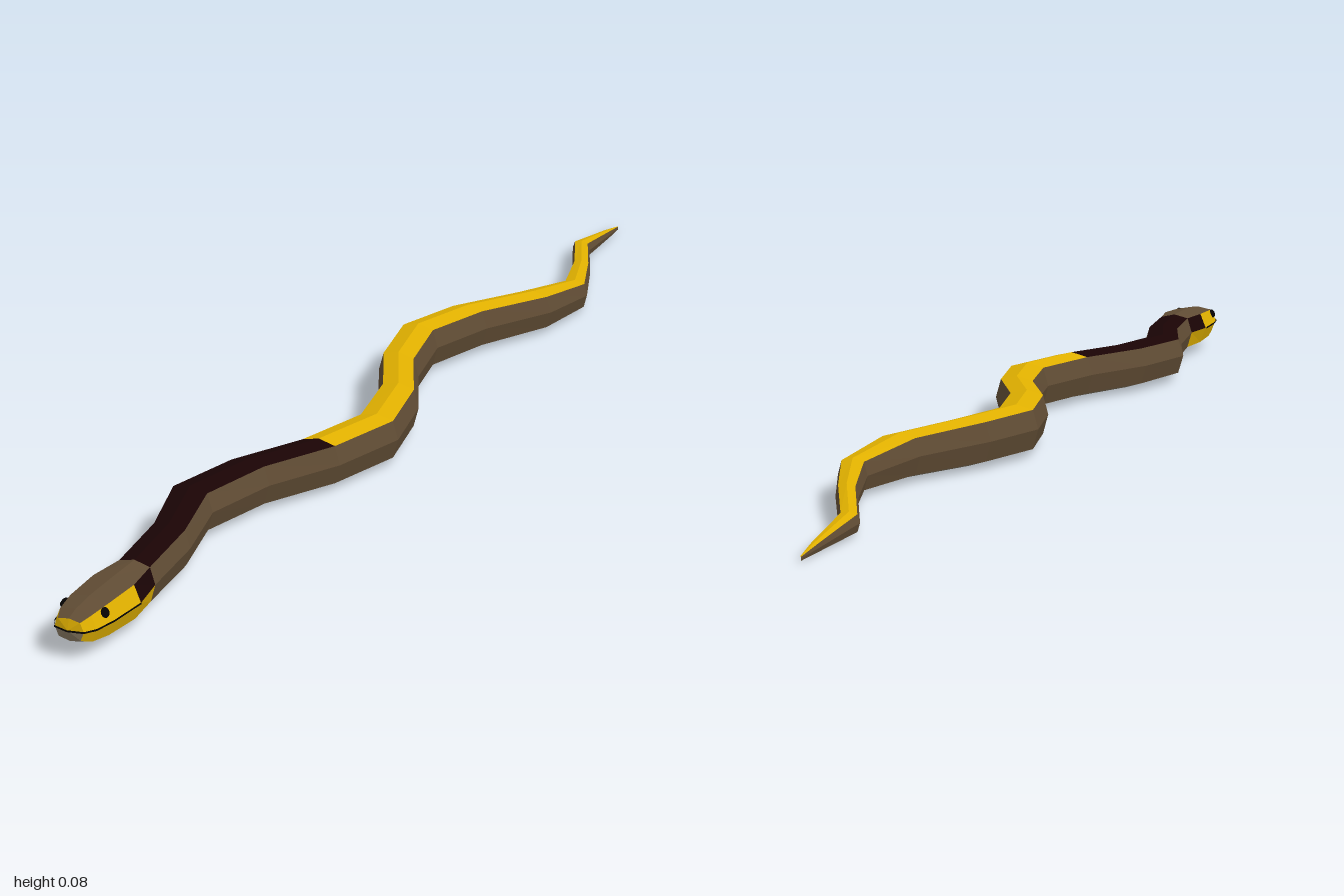
import * as THREE from 'three';

const mat = (name, color, extra = {}) => new THREE.MeshStandardMaterial({ name, color, flatShading: true, ...extra });

// eight-sided cross-section, clockwise from the top as seen from the front
// ring: [z, centre x, half width, bottom y, top y]
function section([z, x, w, lo, hi]) {
  const h = hi - lo, mid = lo + h * 0.52, s = w * 0.76;
  return [
    [0, hi], [s, hi - h * 0.09], [w, mid], [s, lo + h * 0.11],
    [0, lo], [-s, lo + h * 0.11], [-w, mid], [-s, hi - h * 0.09],
  ].map(([px, py]) => new THREE.Vector3(x + px, py, z));
}

function meshOf(points, material, name) {
  const geometry = new THREE.BufferGeometry().setFromPoints(points);
  geometry.computeVertexNormals();
  const mesh = new THREE.Mesh(geometry, material);
  mesh.name = name;
  return mesh;
}

// skin the chosen sides of a run of rings, ordered front to back
function skin(rings, sides, material, name) {
  const sec = rings.map(section), points = [];
  for (let i = 0; i < sec.length - 1; i++) {
    for (const j of sides) {
      const k = (j + 1) % 8;
      const a = sec[i][j], b = sec[i][k], c = sec[i + 1][k], d = sec[i + 1][j];
      points.push(a, b, c, a, c, d);
    }
  }
  return meshOf(points, material, name);
}

// close the front of a ring
function cap(ring, sides, material, name) {
  const sec = section(ring);
  const centre = sec[2].clone().add(sec[6]).multiplyScalar(0.5);
  centre.z += 0.005;
  return meshOf(sides.flatMap(j => [centre, sec[(j + 1) % 8], sec[j]]), material, name);
}

export function createModel() {
  const brown = mat('brown scales', 0x604c34);
  const belly = mat('pale belly scales', 0x84765f);
  const yellow = mat('yellow scales', 0xe0b000);
  const maroon = mat('dark maroon scales', 0x1a0405);
  const black = mat('black', 0x050303, { side: THREE.DoubleSide });

  const head = [
    [0.988, 0, 0.024, 0.029, 0.064],
    [0.97, 0, 0.034, 0.02, 0.071],
    [0.935, 0, 0.041, 0.015, 0.076],
    [0.87, 0, 0.045, 0.012, 0.079],
    [0.81, -0.002, 0.034, 0.011, 0.079],
  ];
  const body = [
    head[4],
    [0.68, -0.022, 0.035, 0.008, 0.08],
    [0.555, -0.061, 0.039, 0.006, 0.082],
    [0.43, -0.033, 0.038, 0.005, 0.083],
    [0.31, 0.026, 0.038, 0.004, 0.083],
    [0.18, 0.06, 0.038, 0.004, 0.083],
    [0.05, 0.031, 0.037, 0.004, 0.083],
    [-0.07, -0.031, 0.037, 0.004, 0.083],
    [-0.2, -0.061, 0.037, 0.004, 0.083],
    [-0.32, -0.027, 0.037, 0.004, 0.082],
    [-0.45, 0.037, 0.035, 0.004, 0.075],
    [-0.575, 0.06, 0.024, 0.004, 0.058],
    [-0.7, 0.016, 0.018, 0.003, 0.047],
    [-0.825, -0.041, 0.017, 0.002, 0.034],
    [-0.95, -0.043, 0.007, 0.001, 0.016],
    [-1, -0.044, 0.001, 0, 0.007],
  ];

  const model = new THREE.Group();
  model.name = 'snake';

  // body: brown flanks, pale belly, back maroon in front and yellow behind
  model.add(
    skin(body, [1, 2, 5, 6], brown, 'flanks'),
    skin(body, [3, 4], belly, 'belly'),
    skin(body.slice(0, 5), [7, 0], maroon, 'frontBack'),
    skin(body.slice(4), [7, 0], yellow, 'rearBack'),
  );

  // head: brown crown, pale chin, yellow cheeks, dark neck patches
  const headGroup = new THREE.Group();
  headGroup.name = 'head';
  headGroup.add(
    skin(head, [7, 0], brown, 'crown'),
    skin(head, [3, 4], belly, 'chin'),
    skin(head, [2, 5], yellow, 'lowerJawSides'),
    skin(head.slice(0, 4), [1, 6], yellow, 'cheeks'),
    skin(head.slice(3), [1, 6], maroon, 'neckPatches'),
    cap(head[0], [6, 7, 0, 1], yellow, 'snout'),
    cap(head[0], [2, 3, 4, 5], belly, 'chinTip'),
  );

  // mouth line: a thin ribbon running round the snout
  const side = head.slice(0, 4).map(r => section(r)[2].add(new THREE.Vector3(0.001, 0, 0.001)));
  const path = [...side.map(p => p.clone().setX(-p.x)).reverse(),
    new THREE.Vector3(0, side[0].y, 0.995), ...side];
  const up = p => p.clone().setY(p.y + 0.0015), down = p => p.clone().setY(p.y - 0.0015);
  const ribbon = [];
  for (let i = 0; i < path.length - 1; i++) {
    const a = path[i], b = path[i + 1];
    ribbon.push(down(a), down(b), up(b), down(a), up(b), up(a));
  }
  headGroup.add(meshOf(ribbon, black, 'mouthLine'));

  // eyes
  for (const s of [1, -1]) {
    const eye = new THREE.Mesh(new THREE.SphereGeometry(0.008, 8, 6), black);
    eye.name = s > 0 ? 'leftEye' : 'rightEye';
    eye.scale.x = 0.6;
    eye.position.set(s * 0.034, 0.063, 0.947);
    eye.rotation.z = s * 0.4;
    headGroup.add(eye);
  }
  model.add(headGroup);
  return model;
}
